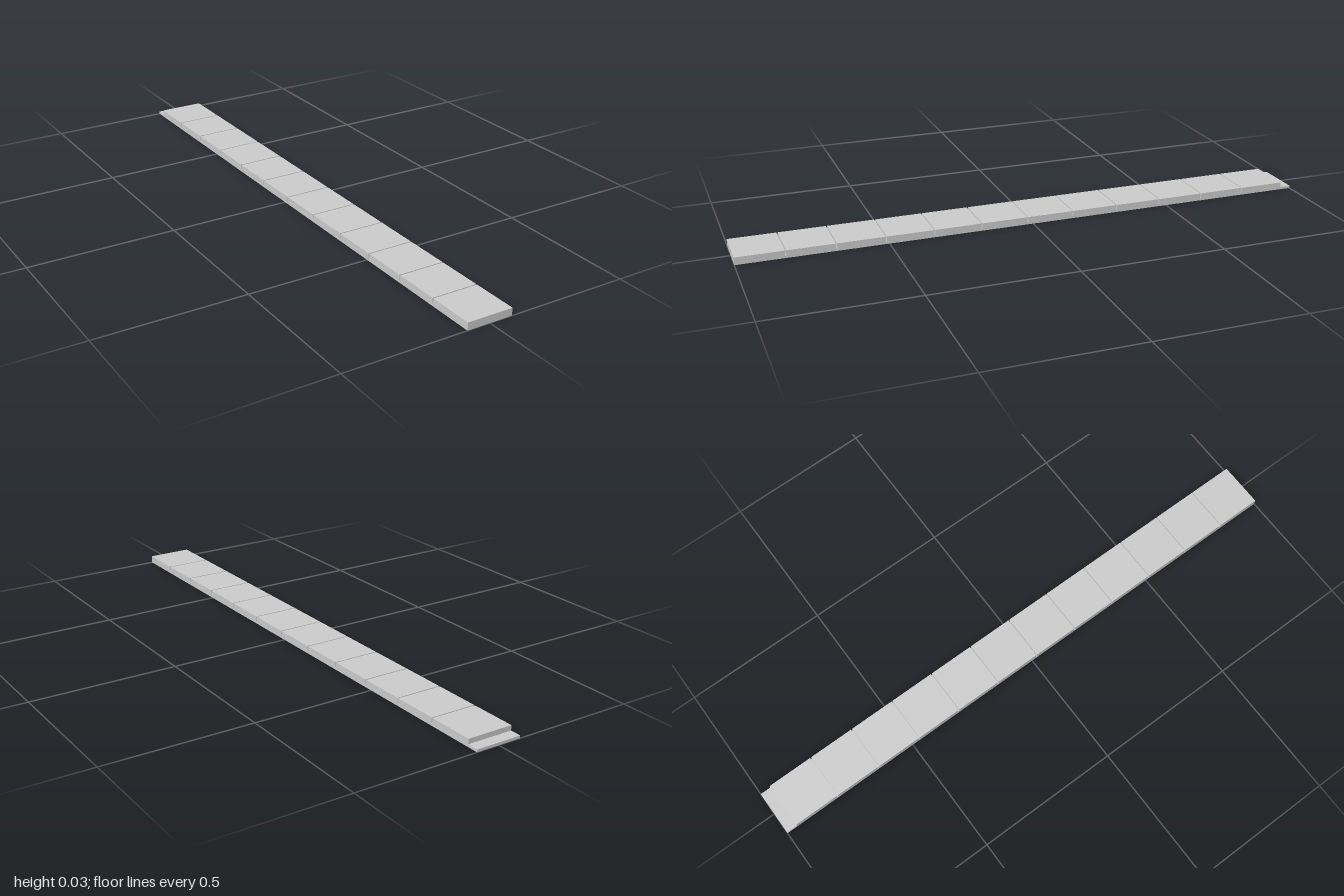
import * as THREE from 'three';

const WIDTH = 0.16, LENGTH = 2, HEIGHT = 0.026, BASE = 0.009;
const COUNT = 12, TILE = 0.16, PITCH = 0.1638;

export function createModel() {
  const group = new THREE.Group();
  group.name = 'tiledStrip';
  const material = new THREE.MeshStandardMaterial({ color: 0xcccccc, flatShading: true });

  // Box standing on height y, centred on z
  function addBox(name, height, length, y, z) {
    const mesh = new THREE.Mesh(new THREE.BoxGeometry(WIDTH, height, length), material);
    mesh.name = name;
    mesh.position.set(0, y + height / 2, z);
    group.add(mesh);
  }

  // Thin backing strip, exposed as a lip at the back end
  addBox('backingStrip', BASE, LENGTH, 0, 0);

  // Row of square tiles with narrow gaps, starting flush with the front end
  for (let i = 0; i < COUNT; i++) {
    addBox(`tile${i + 1}`, HEIGHT - BASE, TILE, BASE, LENGTH / 2 - TILE / 2 - i * PITCH);
  }
  return group;
}
